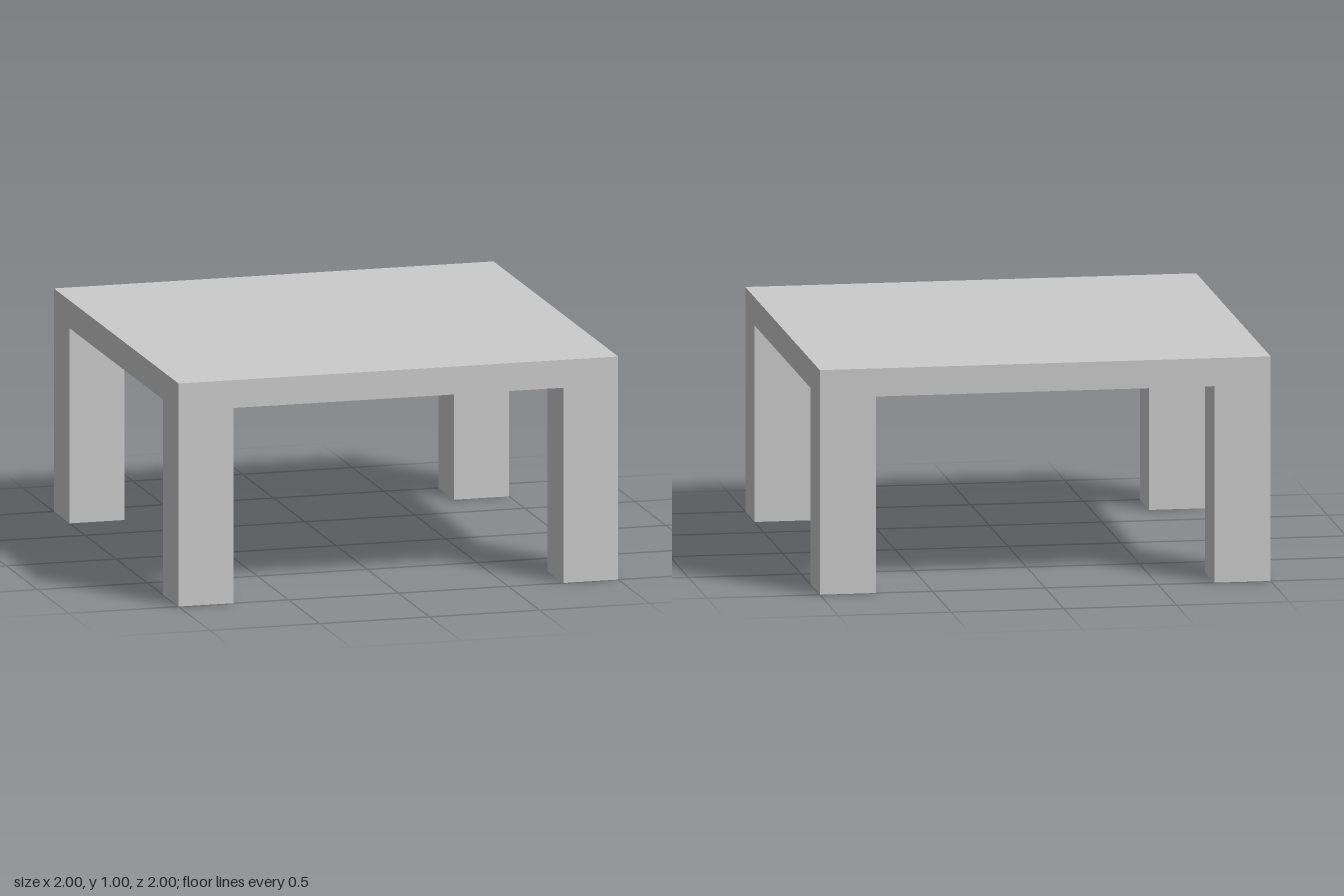
import * as THREE from 'three';

const SIZE = 2, HEIGHT = 1, TOP = 0.125, LEG = 0.25;

export function createModel() {
  const group = new THREE.Group();
  group.name = 'table';
  const material = new THREE.MeshStandardMaterial({ color: 0xcccccc, flatShading: true });

  const addBox = (name, w, h, d, x, y, z) => {
    const mesh = new THREE.Mesh(new THREE.BoxGeometry(w, h, d), material);
    mesh.name = name;
    mesh.position.set(x, y, z);
    group.add(mesh);
  };

  // Square slab top
  addBox('tableTop', SIZE, TOP, SIZE, 0, HEIGHT - TOP / 2, 0);

  // Four square legs, flush with the corners of the top
  const legHeight = HEIGHT - TOP;
  const offset = (SIZE - LEG) / 2;
  for (const [sideName, sx] of [['Left', 1], ['Right', -1]]) {
    for (const [endName, sz] of [['front', 1], ['back', -1]]) {
      addBox(`${endName}${sideName}Leg`, LEG, legHeight, LEG, sx * offset, legHeight / 2, sz * offset);
    }
  }

  return group;
}
